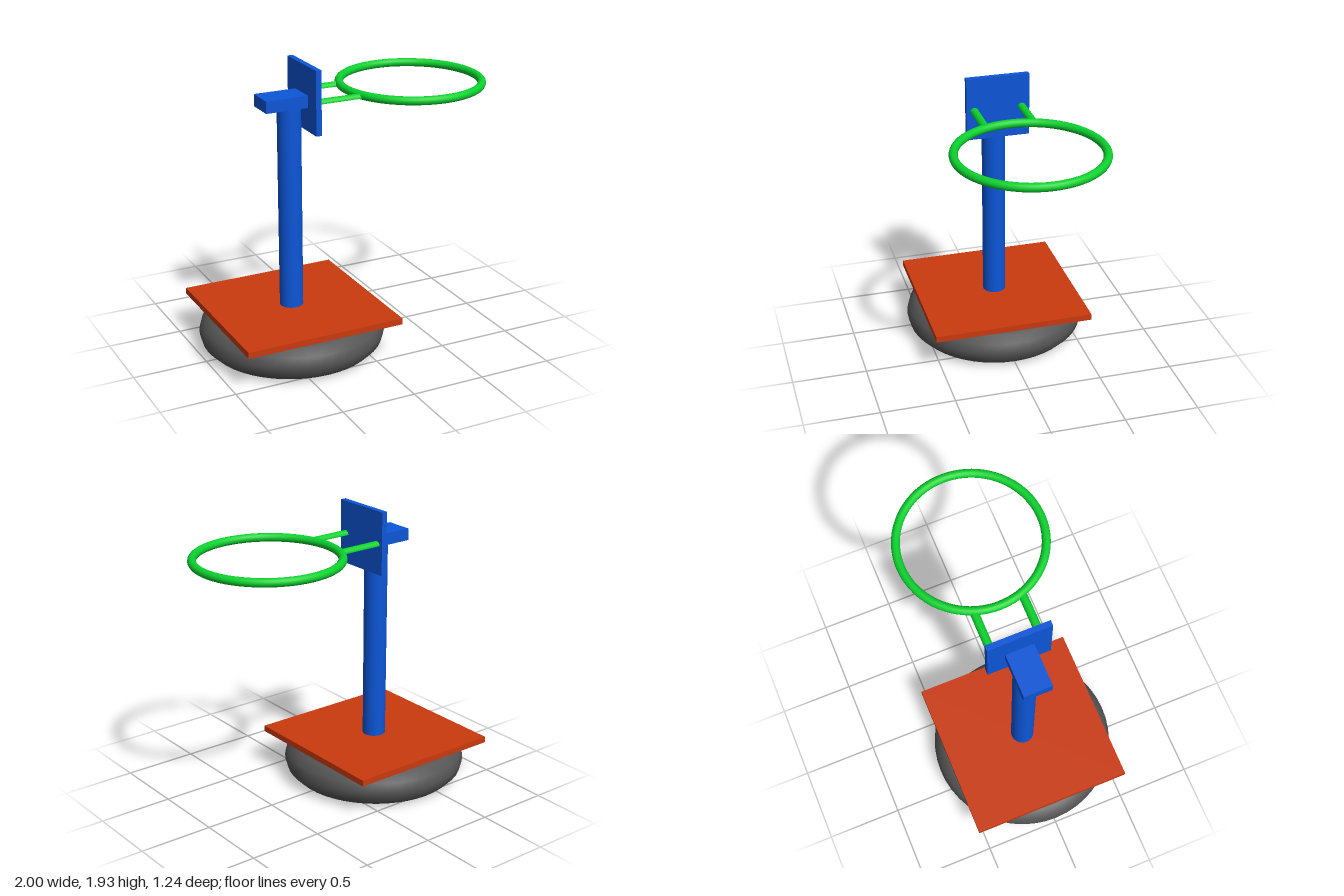
import * as THREE from 'three';

export function createModel() {
  const model = new THREE.Group();
  model.name = 'hoopStand';

  const mat = (name, color, side = THREE.FrontSide) => {
    const m = new THREE.MeshStandardMaterial({ color, side });
    m.name = name;
    return m;
  };
  const blue = mat('blue', 0x0c56d8);
  const orange = mat('orangeRed', 0xca3a0e);
  const green = mat('green', 0x0bd22e, THREE.DoubleSide);
  const grey = mat('rubberGrey', 0x555555);

  const add = (name, geometry, material, x, y, z = 0) => {
    const mesh = new THREE.Mesh(geometry, material);
    mesh.name = name;
    mesh.position.set(x, y, z);
    model.add(mesh);
    return mesh;
  };

  const poleX = -0.38;

  // Tyre lying flat, with a square plate on top
  add('tyre', new THREE.TorusGeometry(0.495, 0.125, 12, 48).rotateX(Math.PI / 2), grey, poleX, 0.127);
  add('basePlate', new THREE.BoxGeometry(1.09, 0.042, 1.09), orange, poleX, 0.274);

  // Pole passes through the plate into the tyre's hole
  const poleBottom = 0.13, poleTop = 1.67;
  add('pole', new THREE.CylinderGeometry(0.078, 0.078, poleTop - poleBottom, 32), blue,
    poleX, (poleTop + poleBottom) / 2);

  // Arm and backboard
  add('arm', new THREE.BoxGeometry(0.29, 0.08, 0.19), blue, -0.433, 1.706);
  add('backboard', new THREE.BoxGeometry(0.038, 0.425, 0.424), blue, -0.27, 1.722);

  // Hoop
  add('hoop', new THREE.TorusGeometry(0.47, 0.028, 16, 64).rotateX(Math.PI / 2), green, 0.5, 1.721);

  // Two half-round brackets, open underneath
  for (const side of [-1, 1]) {
    const bracket = new THREE.CylinderGeometry(0.028, 0.028, 0.31, 12, 1, true, 0, Math.PI).rotateZ(Math.PI / 2);
    add(side > 0 ? 'frontBracket' : 'backBracket', bracket, green, -0.1, 1.707, side * 0.16);
  }

  return model;
}
